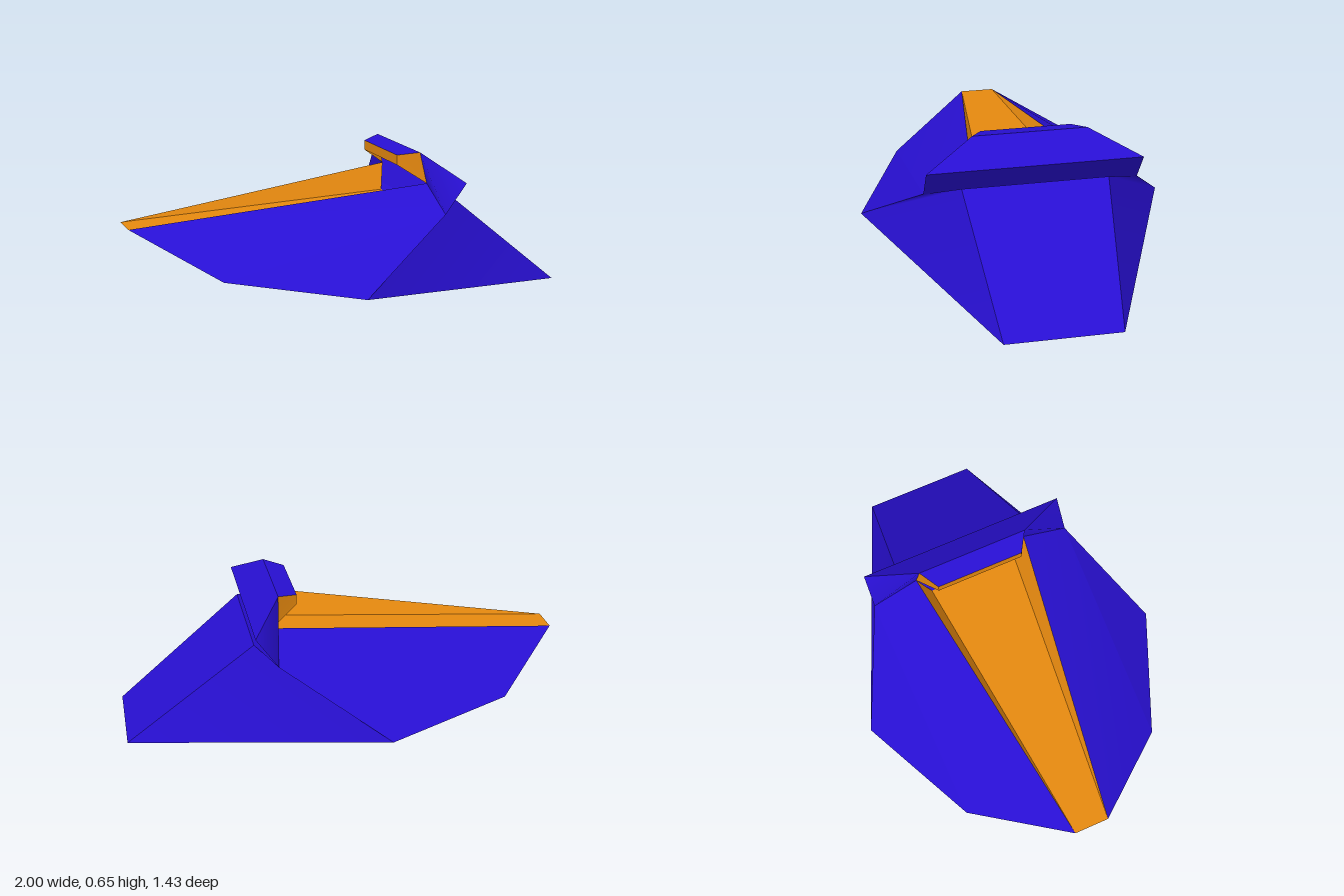
import * as THREE from 'three';

const blue = new THREE.MeshStandardMaterial({ name: 'hullBlue', color: 0x280fd2, side: THREE.DoubleSide });
const orange = new THREE.MeshStandardMaterial({ name: 'trimOrange', color: 0xe6890f, side: THREE.DoubleSide });

// Corner points of the left (+z) half
const P = {
  nose: [-1, 0.36, 0.08],
  chin: [-0.68, 0.19, 0.47],
  wing: [-0.12, 0.125, 0.717],
  tail: [1, 0, 0.26],
  rear: [0.43, 0.46, 0.33],
  shoulder: [0.34, 0.41, 0.485],
  rim: [0.34, 0.51, 0.27],
  floor: [0.31, 0.39, 0.21],
  spoiler: [0.44, 0.545, 0.485],
  roof: [0.31, 0.653, 0.26],
  lipTop: [0.22, 0.637, 0.205],
  lipLow: [0.22, 0.592, 0.205],
};
const mirror = ([x, y, z]) => [x, y, -z];

function mesh(name, material, points, index) {
  const g = new THREE.BufferGeometry();
  g.setAttribute('position', new THREE.Float32BufferAttribute(points.flat(), 3));
  g.setIndex(index);
  g.computeVertexNormals();
  const m = new THREE.Mesh(g, material);
  m.name = name;
  return m;
}

export function createModel() {
  const model = new THREE.Group();
  model.name = 'spacecraft';

  // Flat panel reaching across the centre line, from one corner pair to the next
  const span = (name, material, a, b) =>
    model.add(mesh(name, material, [P[a], P[b], mirror(P[b]), mirror(P[a])], [0, 1, 2, 0, 2, 3]));

  // Panel fan on the left side and its mirror on the right
  const pair = (name, material, ...keys) => {
    const left = keys.map(k => P[k]);
    const fan = [];
    for (let i = 1; i < keys.length - 1; i++) fan.push(0, i, i + 1);
    model.add(mesh(name + 'Left', material, left, fan));
    model.add(mesh(name + 'Right', material, left.map(mirror), [...fan].reverse()));
  };

  // Hull sides
  pair('upperFlank', blue, 'nose', 'chin', 'shoulder', 'rim');
  pair('wingFront', blue, 'chin', 'wing', 'shoulder');
  pair('wingRear', blue, 'wing', 'tail', 'rear', 'shoulder');

  // Hull back, belly and nose
  span('rearSlope', blue, 'rear', 'tail');
  span('rearDeck', blue, 'shoulder', 'rear');
  span('rearBelly', blue, 'tail', 'wing');
  span('frontBelly', orange, 'wing', 'chin');
  span('noseUnderside', orange, 'chin', 'nose');

  // Sunken cockpit
  span('cockpitFloor', orange, 'nose', 'floor');
  span('cockpitBack', blue, 'floor', 'shoulder');
  pair('cockpitWall', orange, 'nose', 'rim', 'floor');

  // Hood and spoiler
  span('spoilerTop', blue, 'roof', 'spoiler');
  span('spoilerBack', blue, 'spoiler', 'shoulder');
  span('hoodTop', blue, 'lipTop', 'roof');
  span('hoodLip', orange, 'lipLow', 'lipTop');
  pair('spoilerSide', blue, 'shoulder', 'spoiler', 'roof', 'rim');
  pair('hoodCheek', orange, 'rim', 'roof', 'lipTop', 'lipLow');

  return model;
}
